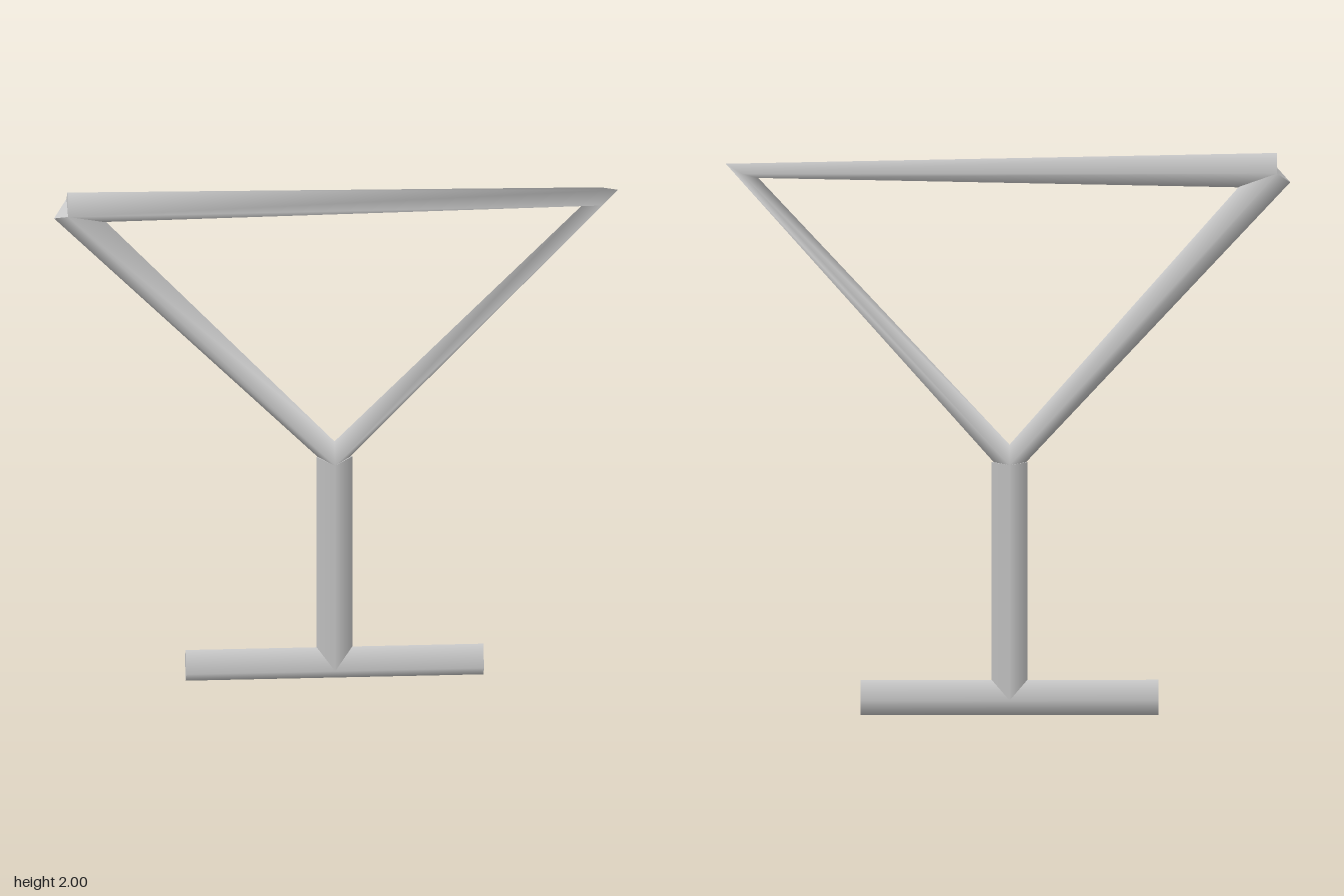
import * as THREE from 'three';

const R = 0.0625;   // bar radius
const CX = -0.0075; // symmetry axis of the glass

// Four-sided bar swept along a polyline in the xy plane, smooth sides, flat caps
function sweepBar(path) {
  const pts = path.map(([x, y]) => new THREE.Vector3(x, y, 0));
  const dirs = pts.slice(1).map((p, i) => p.clone().sub(pts[i]).normalize());
  const pos = [], nor = [], idx = [];
  const z = new THREE.Vector3(0, 0, 1);
  const push = (p, n) => { pos.push(p.x, p.y, p.z); nor.push(n.x, n.y, n.z); };
  const rings = pts.map((p, i) => {
    const t = new THREE.Vector3();
    if (i > 0) t.add(dirs[i - 1]);
    if (i < dirs.length) t.add(dirs[i]);
    t.normalize();
    const n = new THREE.Vector3(-t.y, t.x, 0);
    const normals = [n, z, n.clone().negate(), z.clone().negate()];
    const corners = normals.map(v => p.clone().addScaledVector(v, R));
    corners.forEach((c, j) => push(c, normals[j]));
    return { t, corners };
  });
  for (let i = 0; i < dirs.length; i++) {
    for (let j = 0; j < 4; j++) {
      const a = i * 4 + j, b = i * 4 + (j + 1) % 4;
      idx.push(a, b, a + 4, b, b + 4, a + 4);
    }
  }
  const first = rings[0], last = rings[rings.length - 1];
  let s = pos.length / 3;
  first.corners.forEach(c => push(c, first.t.clone().negate()));
  idx.push(s, s + 2, s + 1, s, s + 3, s + 2);
  s += 4;
  last.corners.forEach(c => push(c, last.t));
  idx.push(s, s + 1, s + 2, s, s + 2, s + 3);

  const g = new THREE.BufferGeometry();
  g.setAttribute('position', new THREE.Float32BufferAttribute(pos, 3));
  g.setAttribute('normal', new THREE.Float32BufferAttribute(nor, 3));
  g.setIndex(idx);
  return g;
}

export function createModel() {
  const model = new THREE.Group();
  const grey = new THREE.MeshStandardMaterial({ color: 0xcccccc });
  grey.name = 'light grey';

  const parts = {
    // horizontal foot
    foot: [[CX - 0.522, R], [CX + 0.522, R]],
    // upright stem
    stem: [[CX, R], [CX, 0.9]],
    // bowl outline: left arm, right arm, then back along the rim
    bowl: [[CX - 0.9375, 1.9375], [CX, 0.9], [CX + 0.9375, 1.9375], [CX - 0.9375, 1.9375]],
  };
  for (const [name, path] of Object.entries(parts)) {
    const mesh = new THREE.Mesh(sweepBar(path), grey);
    mesh.name = name;
    model.add(mesh);
  }
  return model;
}
